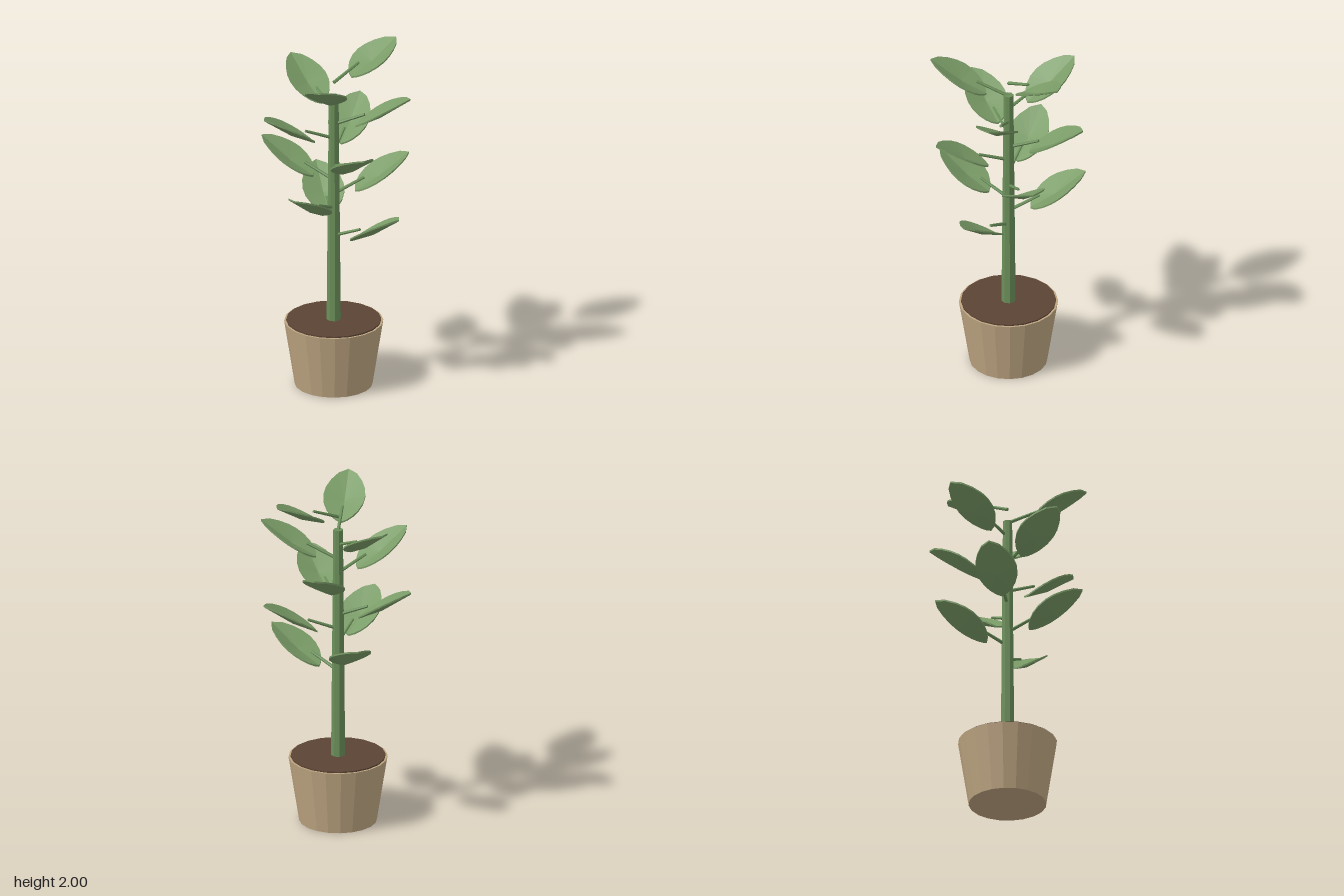
import * as THREE from 'three';

const mat = (name, color) => new THREE.MeshStandardMaterial({ name, color, flatShading: true });

// Cupped leaf blade: x runs outward, z across; rim loop with a sunken centre and a thin edge wall
function leafGeometry(tipRise) {
  const half = [[0.127, 0], [0.136, 0.033], [0.153, 0.062], [0.18, 0.09], [0.22, 0.112], [0.265, 0.119],
    [0.31, 0.111], [0.36, 0.088], [0.41, 0.052], [0.446, 0]];
  const rim = [...half, ...half.slice(1, -1).reverse().map(([x, w]) => [x, -w])];
  const line = (x) => (x - 0.127) / 0.319 * tipRise;
  const thick = 0.01, n = rim.length, pos = [], idx = [];
  for (const d of [0, -thick]) {
    for (const [x, w] of rim) pos.push(x, line(x) + 0.005 + 0.025 * Math.abs(w) / 0.119 + d, w);
    pos.push(0.27, line(0.27) - 0.012 + d, 0);
  }
  const low = n + 1;
  for (let i = 0; i < n; i++) {
    const j = (i + 1) % n;
    idx.push(n, i, j, low + n, low + j, low + i);
    idx.push(i, low + i, low + j, i, low + j, j);
  }
  const g = new THREE.BufferGeometry();
  g.setAttribute('position', new THREE.Float32BufferAttribute(pos, 3));
  g.setIndex(idx);
  const flat = g.toNonIndexed();
  flat.computeVertexNormals();
  return flat;
}

export function createModel() {
  const clay = mat('clay', 0xbfa682);
  const soilMat = mat('soil', 0x5a4434);
  const bark = mat('green stem', 0x6b8f5a);
  const foliage = mat('leaf green', 0x7a9c67);

  const model = new THREE.Group();
  model.name = 'pottedPlant';
  const add = (parent, name, geometry, material, y = 0) => {
    const m = new THREE.Mesh(geometry, material);
    m.name = name;
    m.position.y = y;
    parent.add(m);
    return m;
  };

  // Pot, soil and trunk
  add(model, 'pot', new THREE.CylinderGeometry(0.28, 0.22, 0.383, 20), clay, 0.1915);
  add(model, 'soil', new THREE.CylinderGeometry(0.268, 0.268, 0.02, 20), soilMat, 0.381);
  add(model, 'trunk', new THREE.CylinderGeometry(0.028, 0.041, 1.385, 8), bark, 1.0625);

  // Twelve leaves spiralling upward by the golden angle
  const count = 12;
  const blade = leafGeometry(0.195), topBlade = leafGeometry(0.162);
  const run = 0.18, rise = 0.078;
  const stalk = new THREE.CylinderGeometry(0.008, 0.01, Math.hypot(run, rise), 6);
  stalk.rotateZ(Math.atan2(rise, run) - Math.PI / 2);
  stalk.translate(run / 2, rise / 2, 0);
  for (let i = 0; i < count; i++) {
    const leaf = new THREE.Group();
    leaf.name = 'leaf' + (i + 1);
    leaf.position.y = 0.9 + i * 0.0848;
    leaf.rotation.y = THREE.MathUtils.degToRad(137.5 * i);
    add(leaf, 'leafStalk', stalk, bark);
    add(leaf, 'leafBlade', i === count - 1 ? topBlade : blade, foliage);
    model.add(leaf);
  }

  model.position.set(-0.003, 0, -0.003);
  return model;
}
